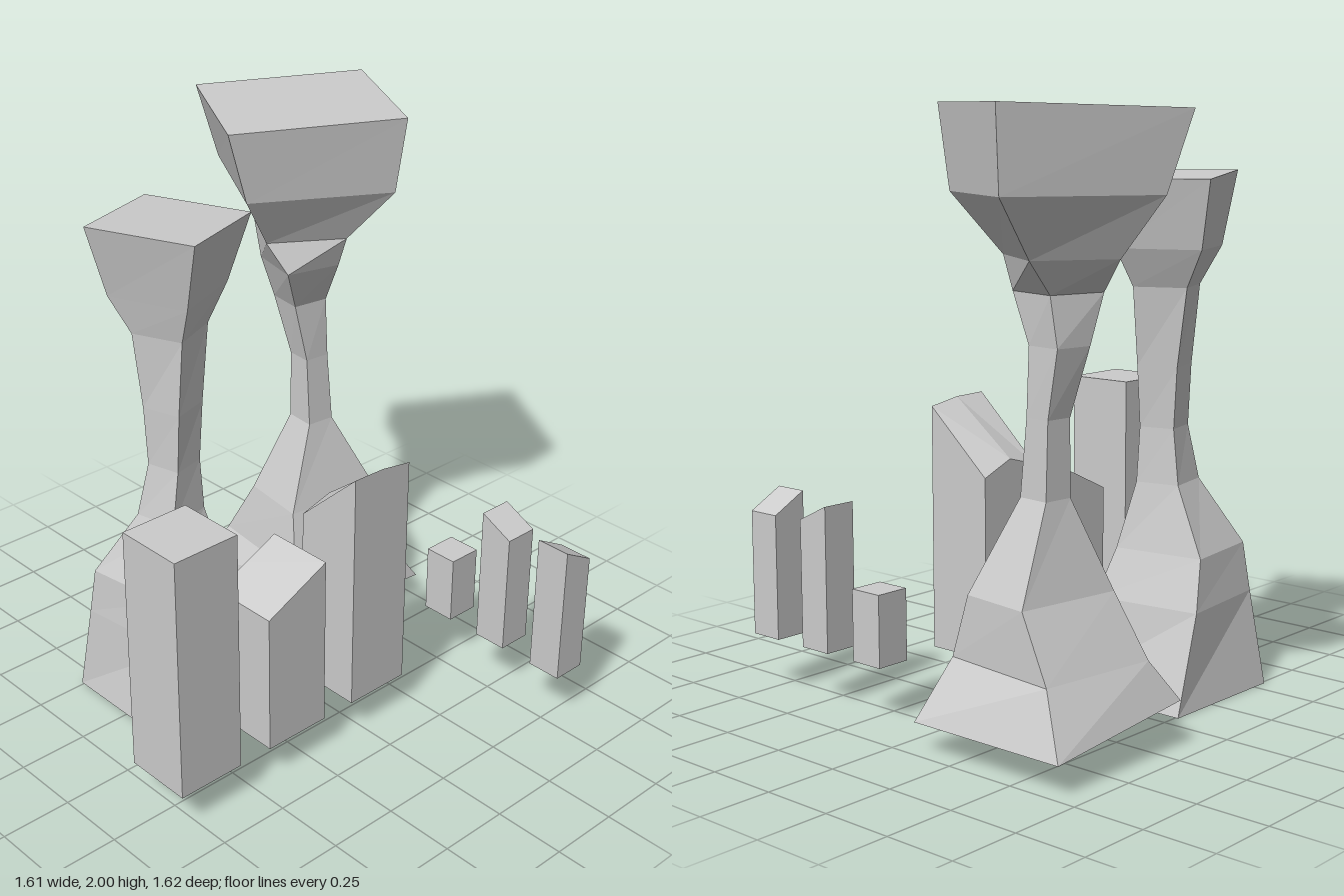
import * as THREE from 'three';

const material = new THREE.MeshStandardMaterial({ color: 0xcccccc, flatShading: true });

function addMesh(group, name, geometry) {
  const flat = geometry.toNonIndexed();
  flat.computeVertexNormals();
  const mesh = new THREE.Mesh(flat, material);
  mesh.name = name;
  group.add(mesh);
}

// Square column whose levels are shifted, scaled and turned.
// Each ring: [y, centre x, centre z, half x, half z, turn in degrees, tilt along x, tilt along z]
function twistedTower(rings) {
  const n = rings.length - 1;
  const geometry = new THREE.BoxGeometry(2, 1, 2, 1, n, 1);
  const p = geometry.attributes.position;
  for (let i = 0; i < p.count; i++) {
    const [y, cx, cz, hx, hz, turn, tx = 0, tz = 0] = rings[Math.round((p.getY(i) + 0.5) * n)];
    const a = THREE.MathUtils.degToRad(turn);
    const x = p.getX(i) * hx, z = p.getZ(i) * hz;
    const dx = x * Math.cos(a) - z * Math.sin(a);
    const dz = x * Math.sin(a) + z * Math.cos(a);
    p.setXYZ(i, cx + dx, y + tx * dx + tz * dz, cz + dz);
  }
  return geometry;
}

// Upright block; top(sx, sz) gives the height, with sx and sz from -1 to 1
function block(x, z, width, bottom, top) {
  const geometry = new THREE.BoxGeometry(2, 2, 2, 1, 1, 2);
  const p = geometry.attributes.position;
  for (let i = 0; i < p.count; i++) {
    const sx = p.getX(i), sz = p.getZ(i);
    const y = p.getY(i) > 0 ? top(sx, sz) : bottom;
    p.setXYZ(i, x + sx * width / 2, y, z + sz * width / 2);
  }
  return geometry;
}

export function createModel() {
  const group = new THREE.Group();
  group.name = 'rockFormation';

  // Tall mushroom-shaped pillar at the back
  addMesh(group, 'backTower', twistedTower([
    [0.127, -0.385, -0.447, 0.295, 0.293, 0, 0, 0.09],
    [0.29, -0.375, -0.425, 0.22, 0.212, 7],
    [0.5, -0.353, -0.442, 0.13, 0.187, 8],
    [0.8, -0.36, -0.43, 0.057, 0.052, 5],
    [1.05, -0.37, -0.428, 0.047, 0.047, 5],
    [1.27, -0.395, -0.405, 0.066, 0.066, 8],
    [1.43, -0.358, -0.368, 0.1, 0.1, 14],
    [1.54, -0.4, -0.405, 0.152, 0.14, 33],
    [1.73, -0.39, -0.42, 0.255, 0.255, 30],
    [1.99, -0.4, -0.4, 0.3, 0.3, 30, 0.021, -0.018],
  ]));

  // Slimmer pillar at the front, turned the other way
  addMesh(group, 'frontTower', twistedTower([
    [0, -0.26, 0.31, 0.25, 0.25, 0],
    [0.33, -0.28, 0.332, 0.198, 0.188, -7],
    [0.5, -0.29, 0.355, 0.163, 0.155, -8],
    [0.73, -0.26, 0.32, 0.078, 0.084, -12],
    [0.92, -0.253, 0.305, 0.062, 0.062, -14],
    [1.13, -0.258, 0.298, 0.071, 0.071, -17],
    [1.4, -0.272, 0.288, 0.092, 0.092, -23],
    [1.53, -0.29, 0.277, 0.146, 0.138, -22],
    [1.77, -0.278, 0.274, 0.196, 0.196, -22.5, 0.018, 0.049],
  ]));

  // Row of large blocks along the side
  const largeTops = [
    () => 1.005,
    (sx, sz) => 0.692 - sz * 0.058,
    (sx, sz) => (sx > 0 ? [0.98, 1.0, 1.003][sz + 1] : [0.76, 0.81, 0.775][sz + 1]),
  ];
  [0.685, 0.31, -0.067].forEach((z, i) =>
    addMesh(group, 'largeBlock' + (i + 1), block(0.242, z, 0.248, 0.13, largeTops[i])));

  // Row of small blocks at the back
  const smallTops = [() => 0.435, (sx) => 0.66 - sx * 0.03, (sx, sz) => 0.658 + sz * 0.034];
  smallTops.forEach((top, i) =>
    addMesh(group, 'smallBlock' + (i + 1), block(0.242 + i * 0.25, -0.567, 0.124, 0.19, top)));

  return group;
}
